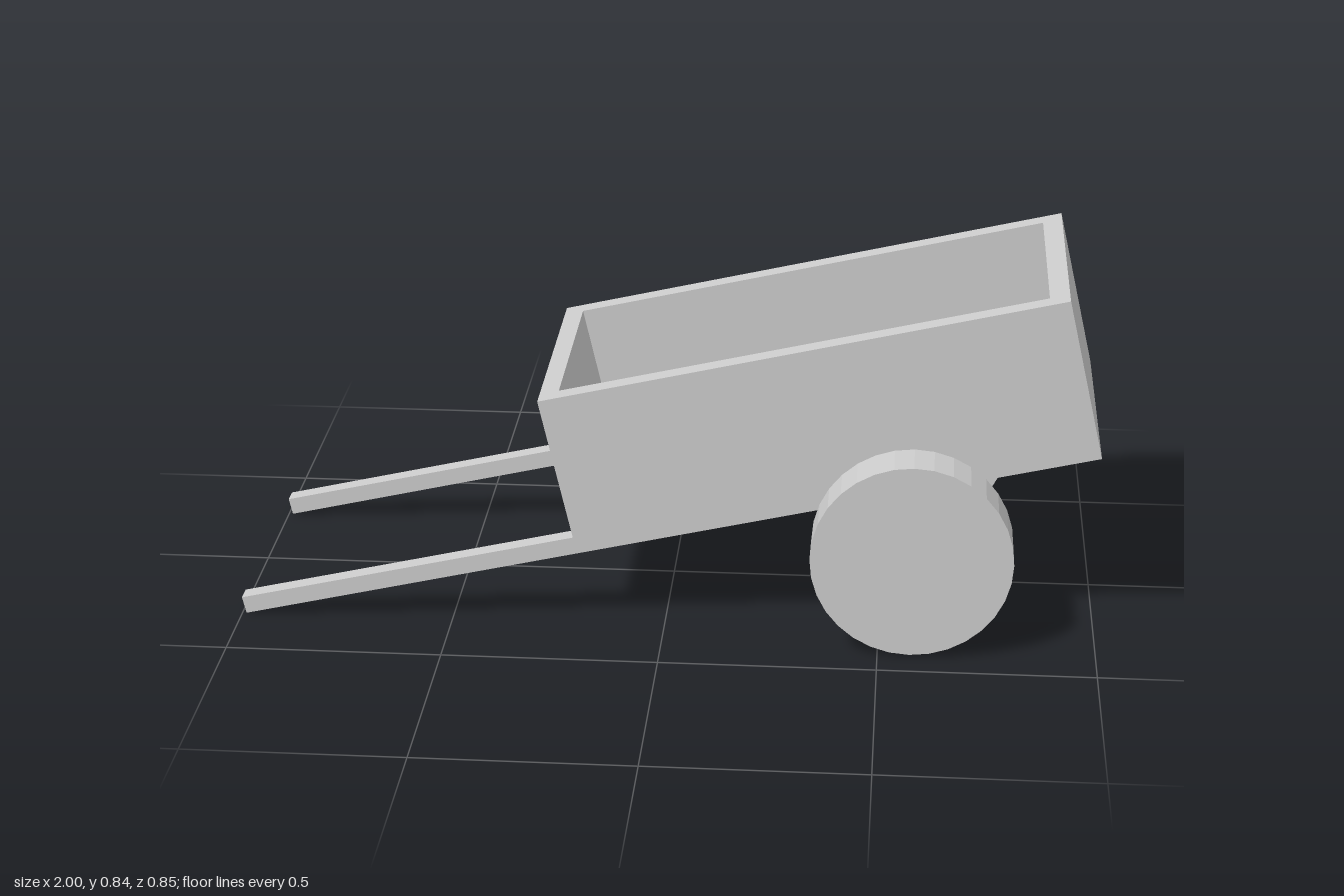
import * as THREE from 'three';

const LENGTH = 1.231, HEIGHT = 0.387, HALF_WIDTH = 0.313;
const WALL = 0.046, FLOOR = 0.054, TILT = 0.227;

function rect(PathType, x0, x1, z) {
  return new PathType([
    new THREE.Vector2(x0, -z), new THREE.Vector2(x1, -z),
    new THREE.Vector2(x1, z), new THREE.Vector2(x0, z),
  ]);
}

export function createModel() {
  const material = new THREE.MeshStandardMaterial({ color: 0xcccccc, flatShading: true });
  const model = new THREE.Group();
  model.name = 'handcart';

  const add = (parent, name, geometry, x, y, z) => {
    const mesh = new THREE.Mesh(geometry, material);
    mesh.name = name;
    mesh.position.set(x, y, z);
    parent.add(mesh);
    return mesh;
  };

  // Tilted body: its origin is the lower edge of the box on the handle side
  const body = new THREE.Group();
  body.name = 'body';
  body.position.set(-0.203, 0.189, 0);
  body.rotation.z = TILT;
  model.add(body);

  // Floor
  add(body, 'floor', new THREE.BoxGeometry(LENGTH, FLOOR, HALF_WIDTH * 2), LENGTH / 2, FLOOR / 2, 0);

  // Four walls as one open frame
  const frame = rect(THREE.Shape, 0, LENGTH, HALF_WIDTH);
  frame.holes.push(rect(THREE.Path, WALL, LENGTH - WALL, HALF_WIDTH - WALL));
  const walls = new THREE.ExtrudeGeometry(frame, { depth: HEIGHT - FLOOR, bevelEnabled: false });
  walls.rotateX(-Math.PI / 2);
  add(body, 'walls', walls, 0, FLOOR, 0);

  for (const [side, s] of [['left', 1], ['right', -1]]) {
    // Handles run on from the bottom of the box
    add(body, side + 'Handle', new THREE.BoxGeometry(0.808, 0.041, 0.043), -0.404, 0.0205, s * (HALF_WIDTH - 0.0215));

    // Solid disc wheels against the sides
    const disc = new THREE.CylinderGeometry(0.232, 0.232, 0.113, 32);
    disc.rotateX(Math.PI / 2);
    add(model, side + 'Wheel', disc, 0.573, 0.244, s * (HALF_WIDTH + 0.0565));
  }
  // Name sides from the pulling end's box face
  return model;
}
